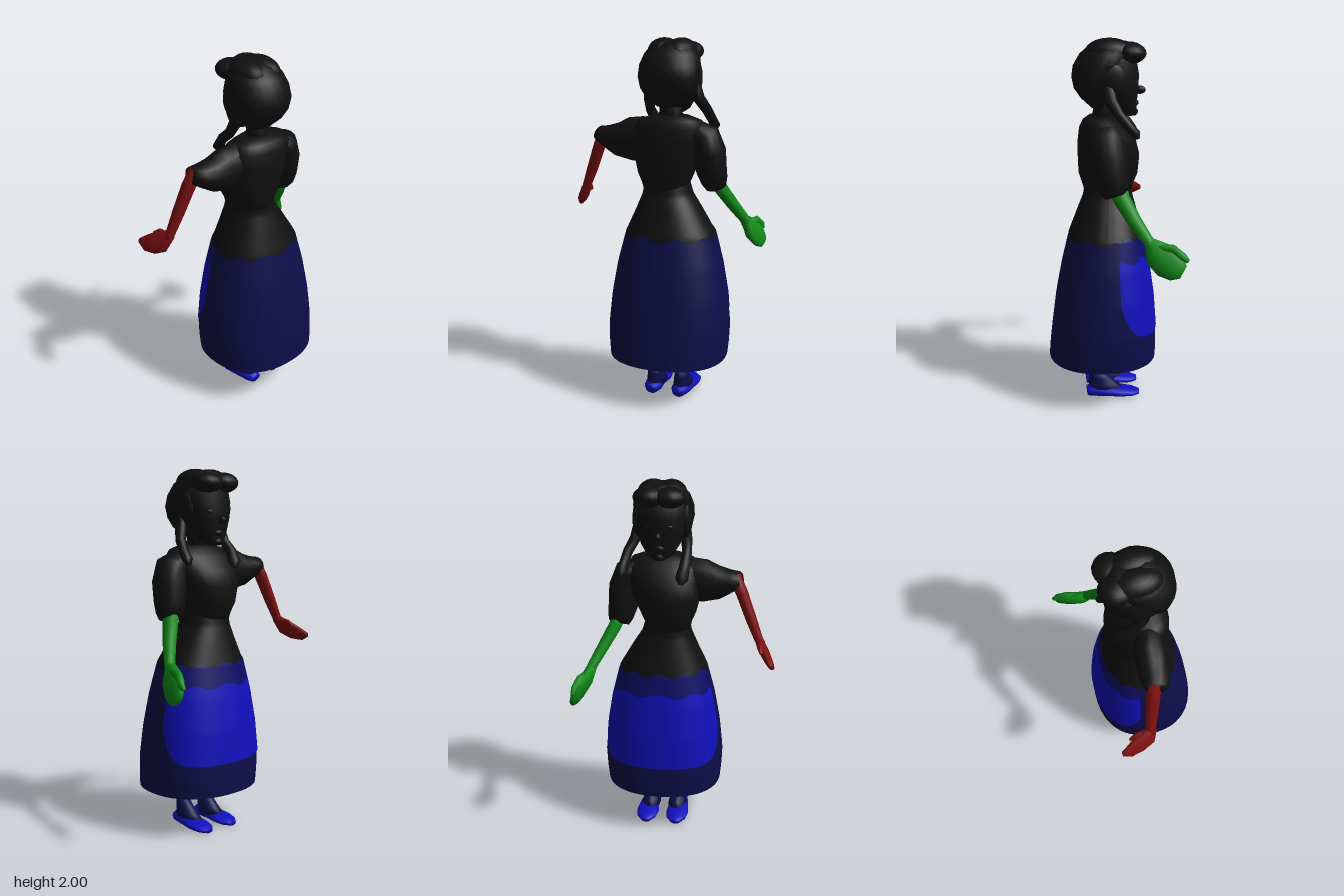
import * as THREE from 'three';

const mat = (name, color, side = THREE.FrontSide) => {
  const m = new THREE.MeshStandardMaterial({ color, side });
  m.name = name;
  return m;
};

// closed tube through rings of { c: centre, a, b: half axes }, with capped ends
function loft(rings, n = 16, power = 1) {
  const pos = [], idx = [];
  const bend = (t) => Math.sign(t) * Math.pow(Math.abs(t), power);
  for (const { c, a, b } of rings) {
    for (let i = 0; i < n; i++) {
      const t = (i / n) * Math.PI * 2;
      const p = c.clone().addScaledVector(a, bend(Math.cos(t))).addScaledVector(b, bend(Math.sin(t)));
      pos.push(p.x, p.y, p.z);
    }
  }
  const last = rings.length - 1, c0 = rings.length * n, c1 = c0 + 1;
  for (const r of [rings[0], rings[last]]) pos.push(r.c.x, r.c.y, r.c.z);
  for (let i = 0; i < n; i++) {
    const j = (i + 1) % n;
    for (let k = 0; k < last; k++) {
      const p = k * n + i, q = k * n + j;
      idx.push(p, q, q + n, p, q + n, p + n);
    }
    idx.push(c0, j, i, c1, last * n + i, last * n + j);
  }
  // turn the faces outwards when the enclosed volume is negative
  let volume = 0;
  const v = (i) => new THREE.Vector3().fromArray(pos, i * 3).sub(rings[0].c);
  for (let i = 0; i < idx.length; i += 3) volume += v(idx[i]).dot(v(idx[i + 1]).cross(v(idx[i + 2])));
  if (volume < 0) idx.reverse();
  const g = new THREE.BufferGeometry();
  g.setAttribute('position', new THREE.Float32BufferAttribute(pos, 3));
  g.setIndex(idx);
  g.computeVertexNormals();
  return g;
}

// upright form from rows of [y, centre x, centre z, half width, half depth]
const stack = (rows, n, power) => loft(rows.map(([y, x, z, rx, rz]) => ({
  c: new THREE.Vector3(x, y, z), a: new THREE.Vector3(rx, 0, 0), b: new THREE.Vector3(0, 0, rz),
})), n, power);

// limb along points [x, y, z, half width, half thickness]; wide is the width direction
function limb(points, wide, n = 10) {
  const c = points.map((p) => new THREE.Vector3(p[0], p[1], p[2]));
  return loft(points.map((p, i) => {
    const t = c[Math.min(i + 1, c.length - 1)].clone().sub(c[Math.max(i - 1, 0)]).normalize();
    const w = new THREE.Vector3(...wide);
    w.addScaledVector(t, -w.dot(t)).normalize();
    return { c: c[i], a: w.clone().multiplyScalar(p[3]), b: t.cross(w).multiplyScalar(p[4]) };
  }), n);
}

// skirt rows: y, centre x, centre z, half width, half depth
const skirtRows = [
  [0.24, 0.08, 0.064, 0.33, 0.3], [0.32, 0.08, 0.06, 0.338, 0.298], [0.42, 0.08, 0.055, 0.342, 0.291],
  [0.6, 0.08, 0.05, 0.324, 0.272], [0.78, 0.08, 0.046, 0.292, 0.242], [0.95, 0.08, 0.042, 0.248, 0.205],
  [1.08, 0.07, 0.035, 0.18, 0.162], [1.16, 0.06, 0.03, 0.138, 0.135], [1.23, 0.055, 0.03, 0.122, 0.125],
];

function skirtPoint(angle, y, lift) {
  let k = 0;
  while (k < skirtRows.length - 2 && y > skirtRows[k + 1][0]) k++;
  const [p, q] = [skirtRows[k], skirtRows[k + 1]];
  const [, x, z, rx, rz] = p.map((s, i) => THREE.MathUtils.lerp(s, q[i], (y - p[0]) / (q[0] - p[0])));
  const bend = (t) => Math.sign(t) * Math.pow(Math.abs(t), 0.88);
  return [x + (rx + lift) * bend(Math.cos(angle)), y, z + (rz + lift) * bend(Math.sin(angle))];
}

// piece of the skirt surface between two angles and two edge curves
function skirtPatch(a0, a1, low, high, lift = 0, nu = 64, nv = 20) {
  const pos = [], idx = [];
  for (let v = 0; v <= nv; v++) {
    for (let u = 0; u <= nu; u++) {
      const angle = a0 + (a1 - a0) * (u / nu), s = (u / nu) * 2 - 1;
      pos.push(...skirtPoint(angle, THREE.MathUtils.lerp(low(s), high(s), v / nv), lift));
      if (u < nu && v < nv) {
        const p = v * (nu + 1) + u, q = p + nu + 1;
        idx.push(p, q, q + 1, p, q + 1, p + 1);
      }
    }
  }
  const g = new THREE.BufferGeometry();
  g.setAttribute('position', new THREE.Float32BufferAttribute(pos, 3));
  g.setIndex(idx);
  g.computeVertexNormals();
  return g;
}

export function createModel() {
  const model = new THREE.Group();
  const black = mat('black', 0x101010, THREE.DoubleSide);
  const navy = mat('navy', 0x0e0e4a, THREE.DoubleSide);
  const bandBlue = mat('band blue', 0x0d0d68, THREE.DoubleSide);
  const blue = mat('blue', 0x1010bc, THREE.DoubleSide);
  const green = mat('green', 0x108a18);
  const red = mat('red', 0x7c1010);
  const add = (name, geometry, material) => {
    const mesh = new THREE.Mesh(geometry, material);
    mesh.name = name;
    model.add(mesh);
    return mesh;
  };
  const ball = (name, x, y, z, rx, ry, rz) => {
    const m = add(name, new THREE.SphereGeometry(1, 16, 12), black);
    m.position.set(x, y, z);
    m.scale.set(rx, ry, rz);
  };

  // skirt, with wavy upper edge and an apron round the front
  const PI = Math.PI;
  const waistLine = (s) => 0.94 + 0.012 * Math.sin(s * PI * 9);
  add('skirt', skirtPatch(0, PI * 2, () => 0.24, waistLine), navy);
  add('skirtTop', skirtPatch(0, PI * 2, waistLine, () => 1.23), black);
  const bandLine = (s) => 0.84 + 0.012 * Math.cos(s * PI * 4);
  add('apron', skirtPatch(PI + 0.22, PI * 2 - 0.22, (s) => 0.42 + 0.2 * Math.abs(s) ** 7, bandLine, 0.004), blue);
  add('apronBand', skirtPatch(PI + 0.22, PI * 2 - 0.22, bandLine, (s) => 0.955 + 0.01 * Math.cos(s * PI * 5), 0.004), bandBlue);

  // bodice and neck
  add('bodice', stack([
    [1.17, 0.055, 0.03, 0.125, 0.125], [1.22, 0.05, 0.03, 0.13, 0.14], [1.28, 0.05, 0.027, 0.155, 0.162],
    [1.38, 0.06, 0.025, 0.19, 0.168], [1.46, 0.07, 0.035, 0.2, 0.158], [1.53, 0.08, 0.055, 0.2, 0.13],
    [1.57, 0.085, 0.065, 0.17, 0.1], [1.595, 0.085, 0.065, 0.1, 0.07],
  ], 24, 0.9), black);
  add('neck', stack([[1.55, 0.083, 0.07, 0.075, 0.06], [1.62, 0.083, 0.055, 0.062, 0.055], [1.72, 0.083, 0.04, 0.07, 0.06]]), black);

  // puffed sleeves
  add('rightSleeve', limb([
    [0.03, 1.47, 0.05, 0.08, 0.09], [-0.06, 1.46, 0.05, 0.12, 0.09], [-0.15, 1.45, 0.045, 0.12, 0.088],
    [-0.23, 1.445, 0.04, 0.092, 0.085], [-0.3, 1.46, 0.03, 0.06, 0.075], [-0.345, 1.472, 0.022, 0.042, 0.06],
  ], [0, 1, 0], 16), black);
  add('leftSleeve', limb([
    [0.2, 1.53, 0.055, 0.05, 0.08], [0.27, 1.48, 0.05, 0.085, 0.095], [0.295, 1.4, 0.04, 0.09, 0.1],
    [0.305, 1.3, 0.025, 0.082, 0.095], [0.318, 1.24, 0.01, 0.072, 0.08], [0.325, 1.205, 0, 0.058, 0.06],
  ], [1, 0, 0], 16), black);

  // right arm and hand
  add('rightArm', limb([
    [-0.31, 1.49, 0.02, 0.04, 0.035], [-0.355, 1.4, 0.005, 0.04, 0.033], [-0.41, 1.26, -0.015, 0.035, 0.03],
    [-0.455, 1.15, -0.03, 0.027, 0.024], [-0.47, 1.125, -0.035, 0.03, 0.024],
  ], [0, 0, 1]), red);
  add('rightHand', limb([
    [-0.455, 1.15, -0.02, 0.026, 0.022], [-0.485, 1.1, -0.06, 0.06, 0.026], [-0.505, 1.075, -0.11, 0.058, 0.024],
    [-0.525, 1.06, -0.165, 0.042, 0.018], [-0.53, 1.06, -0.205, 0.014, 0.012],
  ], [-0.35, -0.8, 0.4]), red);
  add('rightThumb', limb([[-0.46, 1.13, -0.05, 0.022, 0.018], [-0.465, 1.13, -0.11, 0.018, 0.015], [-0.475, 1.11, -0.15, 0.008, 0.008]], [0, 1, 0], 8), red);

  // left arm and hand
  add('leftArm', limb([
    [0.315, 1.26, 0, 0.05, 0.04], [0.345, 1.19, -0.03, 0.046, 0.037], [0.4, 1.09, -0.09, 0.038, 0.033],
    [0.45, 1, -0.155, 0.03, 0.028], [0.463, 0.97, -0.18, 0.035, 0.027],
  ], [0, 0, 1]), green);
  add('leftHand', limb([
    [0.453, 0.99, -0.165, 0.032, 0.028], [0.475, 0.935, -0.205, 0.075, 0.034], [0.5, 0.895, -0.255, 0.085, 0.032],
    [0.52, 0.865, -0.3, 0.068, 0.026], [0.53, 0.85, -0.33, 0.035, 0.015],
  ], [0.25, -0.9, 0.35]), green);
  add('leftThumb', limb([[0.475, 0.96, -0.21, 0.028, 0.022], [0.495, 0.965, -0.28, 0.025, 0.02], [0.515, 0.925, -0.33, 0.024, 0.018], [0.52, 0.905, -0.358, 0.01, 0.01]], [0, 1, 0], 8), green);

  // head with nose, lips, chin and eyelids
  add('head', stack([
    [1.595, 0.083, -0.085, 0.03, 0.035], [1.62, 0.083, -0.06, 0.07, 0.065], [1.67, 0.083, -0.035, 0.105, 0.09],
    [1.74, 0.083, -0.02, 0.13, 0.115], [1.82, 0.083, -0.015, 0.14, 0.12], [1.9, 0.083, -0.005, 0.13, 0.115],
  ], 20), black);
  ball('nose', 0.083, 1.73, -0.142, 0.02, 0.022, 0.03);
  ball('lips', 0.083, 1.662, -0.115, 0.032, 0.018, 0.02);
  ball('chin', 0.083, 1.615, -0.107, 0.03, 0.022, 0.025);
  for (const s of [-1, 1]) ball('eyelid', 0.083 + s * 0.052, 1.775, -0.113, 0.026, 0.014, 0.014);

  // hair: cap, two lobes with a parting, fringe and nape
  add('hair', stack([
    [1.64, 0.083, 0.08, 0.07, 0.04], [1.69, 0.083, 0.1, 0.125, 0.075], [1.74, 0.081, 0.11, 0.15, 0.1],
    [1.8, 0.081, 0.105, 0.164, 0.118], [1.86, 0.081, 0.07, 0.165, 0.145], [1.92, 0.081, 0.035, 0.147, 0.145],
    [1.965, 0.081, 0.01, 0.11, 0.12], [1.985, 0.081, 0.005, 0.06, 0.075],
  ], 24), black);
  for (const s of [-1, 1]) {
    ball('hairLobe', 0.081 + s * 0.048, 1.925, 0.02, 0.085, 0.075, 0.13);
    ball('fringe', 0.081 + s * 0.055, 1.925, -0.085, 0.085, 0.055, 0.085);
    ball('sideHair', 0.081 + s * 0.13, 1.79, 0.03, 0.03, 0.1, 0.09);
  }

  // braids falling over the shoulders to the chest
  add('rightBraid', limb([
    [-0.04, 1.76, 0.04, 0.03, 0.04], [-0.05, 1.68, 0.03, 0.03, 0.035], [-0.055, 1.61, -0.01, 0.026, 0.028],
    [-0.05, 1.56, -0.07, 0.03, 0.028], [-0.04, 1.5, -0.115, 0.036, 0.026], [-0.035, 1.47, -0.12, 0.012, 0.012],
  ], [1, 0, 0]), black);
  add('leftBraid', limb([
    [0.21, 1.76, 0.04, 0.03, 0.04], [0.23, 1.68, 0.02, 0.03, 0.035], [0.262, 1.62, -0.02, 0.028, 0.028],
    [0.28, 1.56, -0.07, 0.026, 0.026], [0.285, 1.525, -0.105, 0.03, 0.026], [0.285, 1.5, -0.115, 0.012, 0.012],
  ], [1, 0, 0]), black);

  // legs, stockinged feet and shoes
  for (const s of [-1, 1]) {
    const x = 0.082 + s * 0.08, out = s * 0.008;
    add('leg', stack([[0.1, x, 0.1, 0.036, 0.042], [0.2, x, 0.1, 0.034, 0.035], [0.35, x, 0.1, 0.042, 0.042], [0.7, x, 0.08, 0.055, 0.055]], 12), navy);
    add('foot', stack([[0.04, x, 0.045, 0.056, 0.1], [0.075, x, 0.065, 0.047, 0.08], [0.11, x, 0.085, 0.04, 0.06], [0.15, x, 0.1, 0.036, 0.042]], 14), navy);
    add('shoe', limb([
      [x, 0.028, 0.155, 0.035, 0.028], [x, 0.033, 0.12, 0.052, 0.033], [x + out, 0.032, 0.04, 0.056, 0.032],
      [x + out, 0.026, -0.04, 0.066, 0.026], [x + out, 0.021, -0.1, 0.056, 0.021], [x + out, 0.018, -0.14, 0.025, 0.014],
    ], [1, 0, 0], 14), blue);
  }
  return model;
}
